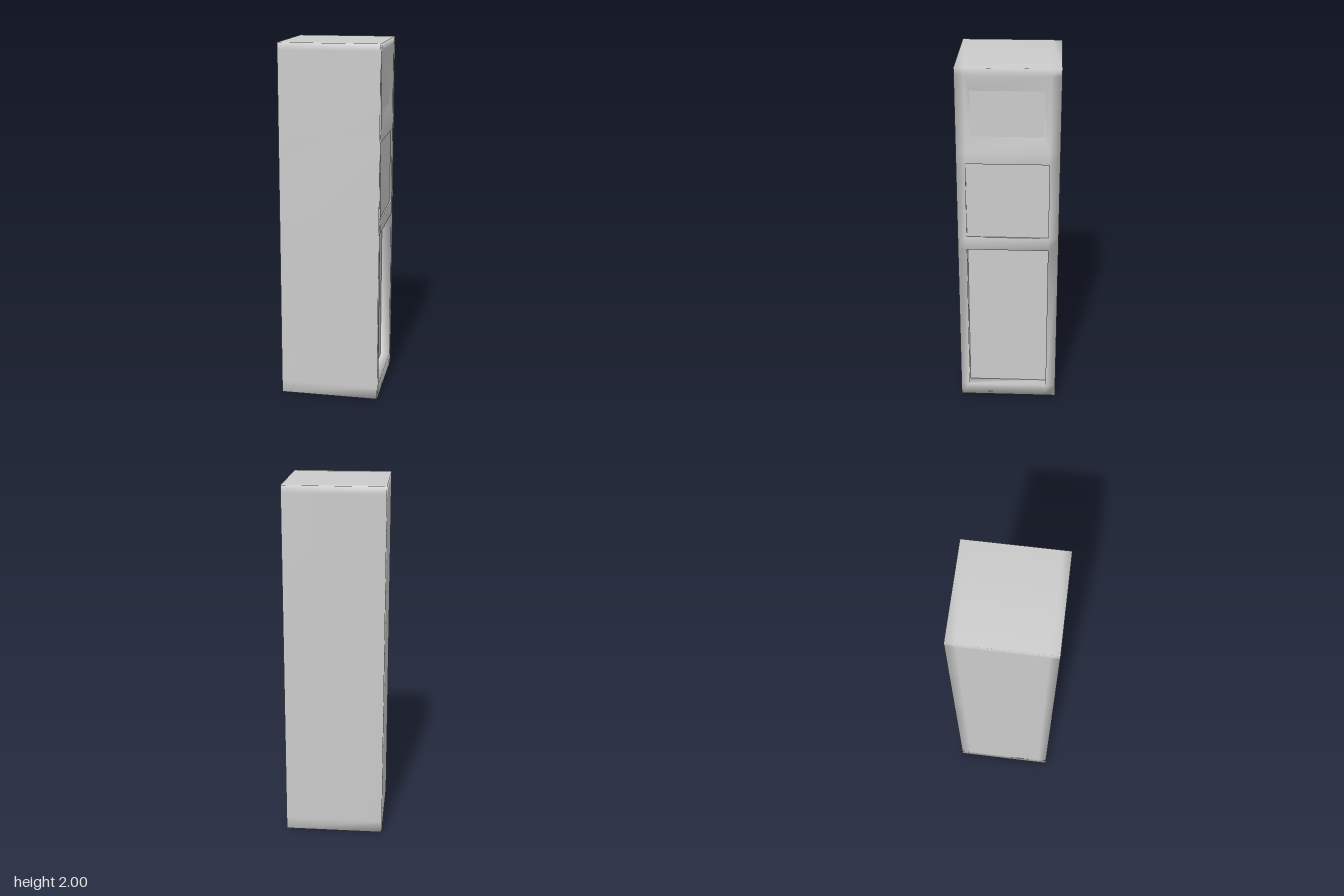
import * as THREE from 'three';
import { mergeVertices } from 'three/addons/utils/BufferGeometryUtils.js';

const W = 0.277; // half width and half depth
const Y = [0, 0.07, 0.965, 1.04, 1.475, 1.535, 1.96, 2]; // height cuts
const Z = [-W, -0.22, 0.227, W]; // depth cuts

// Recesses in the +x face, keyed by height row; inner = [y0, y1, z0, z1]
const RECESSES = {
  1: { name: 'lowerPanel', depth: 0.055, inner: [0.07, 0.965, -0.22, 0.227] },
  3: { name: 'middlePanel', depth: 0.01, inner: [1.04, 1.475, -0.22, 0.227] },
  5: { name: 'upperScreen', depth: 0.016, inner: [1.625, 1.875, -0.19, 0.2] },
};

// Corners of a rectangle facing +x, counter-clockwise
const rect = (x, y0, y1, z0, z1) => [[x, y0, z1], [x, y0, z0], [x, y1, z0], [x, y1, z1]];

const addQuad = (out, [a, b, c, d]) => out.push(...a, ...b, ...c, ...a, ...c, ...d);

// Welded geometry with smooth normals
function toGeometry(points) {
  const geo = new THREE.BufferGeometry();
  geo.setAttribute('position', new THREE.Float32BufferAttribute(points, 3));
  const welded = mergeVertices(geo, 1e-5);
  welded.computeVertexNormals();
  return welded;
}

export function createModel() {
  const group = new THREE.Group();
  const material = new THREE.MeshStandardMaterial({ color: 0xcccccc });
  const add = (name, points) => {
    const mesh = new THREE.Mesh(toGeometry(points), material);
    mesh.name = name;
    group.add(mesh);
  };
  const body = [];

  for (let j = 0; j < Y.length - 1; j++) {
    const y0 = Y[j], y1 = Y[j + 1];
    // Front and back strips
    addQuad(body, [[-W, y0, W], [W, y0, W], [W, y1, W], [-W, y1, W]]);
    addQuad(body, [[W, y0, -W], [-W, y0, -W], [-W, y1, -W], [W, y1, -W]]);

    for (let k = 0; k < Z.length - 1; k++) {
      // Plain -x side
      addQuad(body, rect(-W, y0, y1, Z[k], Z[k + 1]).reverse());

      // +x side: frame cells, or recess walls with an inset panel
      const outer = rect(W, y0, y1, Z[k], Z[k + 1]);
      const recess = k === 1 && RECESSES[j];
      if (!recess) {
        addQuad(body, outer);
        continue;
      }
      const inner = rect(W - recess.depth, ...recess.inner);
      for (let i = 0; i < 4; i++) {
        const n = (i + 1) % 4;
        addQuad(body, [outer[i], outer[n], inner[n], inner[i]]);
      }
      const panel = [];
      addQuad(panel, inner);
      add(recess.name, panel);
    }
  }

  // Top and bottom
  for (let k = 0; k < Z.length - 1; k++) {
    const cap = (y) => [[-W, y, Z[k + 1]], [W, y, Z[k + 1]], [W, y, Z[k]], [-W, y, Z[k]]];
    addQuad(body, cap(2));
    addQuad(body, cap(0).reverse());
  }
  add('cabinetBody', body);

  return group;
}
